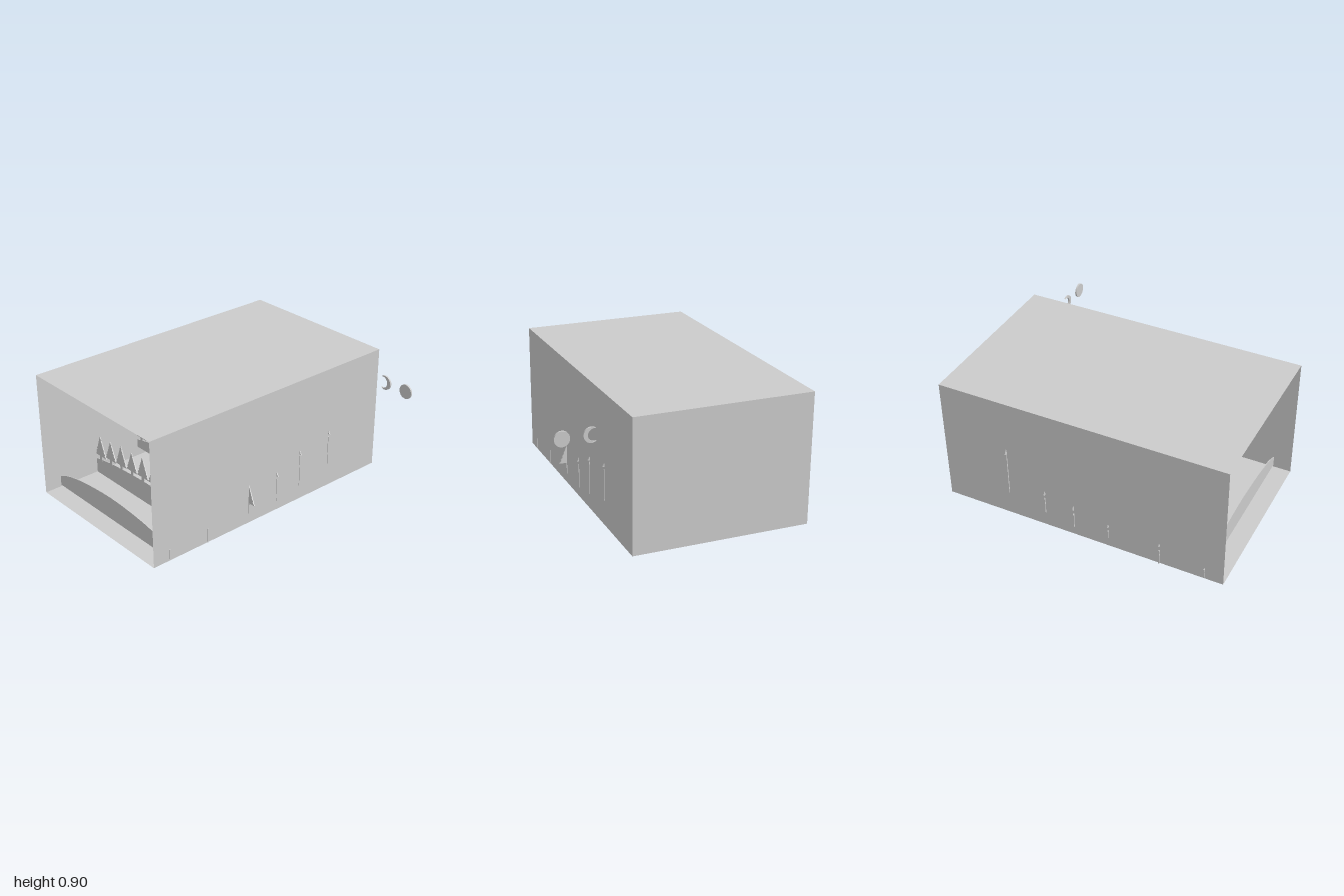
import * as THREE from 'three';

const material = new THREE.MeshStandardMaterial({ color: 0xcccccc, side: THREE.DoubleSide, flatShading: true });
const X0 = -0.82, X1 = 0.404;      // ends of the scenery boards
const W0 = -0.812, W1 = 0.4;       // side walls of the box

function addMesh(group, name, geometry) {
  const mesh = new THREE.Mesh(geometry, material);
  mesh.name = name;
  group.add(mesh);
  return mesh;
}

// Extrudes flat shapes into a thin board centred on depth z
function board(shapes, z, depth) {
  const g = new THREE.ExtrudeGeometry(shapes, { depth, bevelEnabled: false, curveSegments: 24 });
  return g.translate(0, 0, z - depth / 2);
}

// Saw-toothed fir silhouette with a short trunk sunk into the ridge
function fir(x, y, w, h, trunk, tiers) {
  const left = [], right = [];
  for (let i = 0; i < tiers; i++) {
    const outer = (w / 2) * (1 - i / tiers);
    const inner = (w / 2) * (1 - (i + 1) / tiers) * 0.85;
    const low = y + trunk + (h * i) / tiers;
    const high = y + trunk + (h * (i + 1)) / tiers;
    right.push([x + outer, low], [x + inner, high - (h / tiers) * 0.1]);
    left.push([x - outer, low], [x - inner, high - (h / tiers) * 0.1]);
  }
  right.pop();
  left.pop();
  const t = w * 0.1;
  const pts = [
    [x - t, y - 0.01], [x + t, y - 0.01], [x + t, y + trunk],
    ...right, [x, y + trunk + h], ...left.reverse(), [x - t, y + trunk],
  ];
  return new THREE.Shape(pts.map(([a, b]) => new THREE.Vector2(a, b)));
}

// Smooth ridge line, with a height lookup for planting trees
function ridgeLine(points) {
  const line = new THREE.SplineCurve(points.map(([x, y]) => new THREE.Vector2(x, y))).getPoints(points.length * 8);
  const heightAt = (x) => {
    const i = Math.max(1, line.findIndex((p) => p.x >= x));
    const a = line[i - 1], b = line[i];
    return a.y + ((b.y - a.y) * (x - a.x)) / (b.x - a.x);
  };
  return { line, heightAt };
}

// Each layer: ridge profile, board bottom, depth, tree spans [from, to, count] and tree size
const layers = [
  {
    name: 'frontHill', z: 0.87, bottom: 0.012,
    ridge: [[X0, 0.08], [-0.7, 0.125], [-0.5, 0.16], [-0.21, 0.178], [0.08, 0.16], [0.28, 0.125], [X1, 0.08]],
    spans: [],
  },
  {
    name: 'nearForest', z: 0.56, bottom: -0.001,
    ridge: [[X0, 0.108], [-0.6, 0.14], [-0.21, 0.16], [0.18, 0.14], [X1, 0.108]],
    spans: [[-0.76, 0.335, 10]], tree: { w: 0.126, h: 0.155, trunk: 0.028, tiers: 6 },
  },
  {
    name: 'middleForest', z: 0.2, bottom: 0.07,
    ridge: [[X0, 0.13], [-0.6, 0.17], [-0.21, 0.2], [0.18, 0.18], [X1, 0.128]],
    spans: [[-0.76, 0.393, 11]], tree: { w: 0.125, h: 0.15, trunk: 0.02, tiers: 6 },
  },
  {
    name: 'farForest', z: -0.05, bottom: 0.065,
    ridge: [[X0, 0.17], [-0.74, 0.23], [-0.6, 0.27], [-0.21, 0.29], [0.1, 0.29], [0.28, 0.27], [X1, 0.235]],
    spans: [[-0.79, 0.38, 20]], tree: { w: 0.068, h: 0.085, trunk: 0.014, tiers: 4 },
  },
  {
    name: 'rollingHills', z: -0.26, bottom: 0.105,
    ridge: [[X0, 0.22], [-0.76, 0.29], [-0.67, 0.32], [-0.53, 0.36], [-0.43, 0.42], [-0.33, 0.445], [-0.26, 0.41],
      [-0.2, 0.34], [-0.12, 0.4], [0, 0.42], [0.12, 0.42], [0.22, 0.39], [0.3, 0.345], [X1, 0.335]],
    spans: [[-0.8, -0.23, 17], [-0.16, 0.39, 16]], tree: { w: 0.048, h: 0.052, trunk: 0.01, tiers: 3 },
  },
  {
    name: 'mountains', z: -0.53, bottom: 0.175,
    ridge: [[X0, 0.5], [-0.74, 0.475], [-0.62, 0.51], [-0.5, 0.515], [-0.42, 0.505], [-0.36, 0.545], [-0.28, 0.615],
      [-0.21, 0.645], [-0.145, 0.55], [-0.06, 0.51], [0.02, 0.515], [0.1, 0.545], [0.22, 0.565], [0.27, 0.545],
      [0.33, 0.46], [X1, 0.385]],
    spans: [[-0.805, -0.385, 13], [-0.125, 0.39, 16]], tree: { w: 0.046, h: 0.048, trunk: 0.008, tiers: 3 },
  },
];

function addLayer(group, { name, z, bottom, ridge, spans, tree }) {
  const { line, heightAt } = ridgeLine(ridge);
  const outline = [new THREE.Vector2(X1, bottom), ...[...line].reverse(), new THREE.Vector2(X0, bottom)];
  addMesh(group, name + 'Ridge', board(new THREE.Shape(outline), z, 0.007));
  const trees = [];
  for (const [from, to, count] of spans) {
    for (let i = 0; i < count; i++) {
      const x = from + ((to - from) * i) / (count - 1);
      const size = 1 - 0.07 * (i % 2);   // alternate heights
      trees.push(fir(x, heightAt(x), tree.w, tree.h * size, tree.trunk, tree.tiers));
    }
  }
  if (trees.length) addMesh(group, name + 'Trees', board(trees, z, 0.008));
}

// Thin-walled box, open at the front
function addBox(group) {
  const w = W1 - W0, h = 0.9, d = 2, cx = (W0 + W1) / 2;
  const panel = (name, pw, ph, rx, ry, x, y, z) => {
    const m = addMesh(group, name, new THREE.PlaneGeometry(pw, ph));
    m.rotation.set(rx, ry, 0);
    m.position.set(x, y, z);
  };
  panel('floor', w, d, Math.PI / 2, 0, cx, 0, 0);
  panel('ceiling', w, d, -Math.PI / 2, 0, cx, h, 0);
  panel('backWall', w, h, 0, Math.PI, cx, h / 2, -1);
  panel('leftWall', d, h, 0, Math.PI / 2, W1, h / 2, 0);
  panel('rightWall', d, h, 0, -Math.PI / 2, W0, h / 2, 0);
}

export function createModel() {
  const model = new THREE.Group();
  model.name = 'forestDiorama';

  const box = new THREE.Group();
  box.name = 'box';
  addBox(box);
  model.add(box);

  for (const layer of layers) {
    const group = new THREE.Group();
    group.name = layer.name;
    addLayer(group, layer);
    model.add(group);
  }

  // Sun disc beside the box
  const sun = new THREE.Shape().absarc(0.783, 0.767, 0.05, 0, Math.PI * 2);
  addMesh(model, 'sun', board(sun, -0.85, 0.012));

  // Crescent moon, opening towards the box
  const moon = new THREE.Shape();
  const a = 2.2, r = 0.05, cx = 0.6, cy = 0.767;
  const hx = r * Math.cos(a), hy = r * Math.sin(a);
  const ox = -0.019, inner = Math.hypot(hx - ox, hy), b = Math.atan2(hy, hx - ox);
  moon.absarc(cx, cy, r, -a, a, false);
  moon.absarc(cx + ox, cy, inner, b, -b, true);
  addMesh(model, 'moon', board(moon, -0.85, 0.012));

  return model;
}
